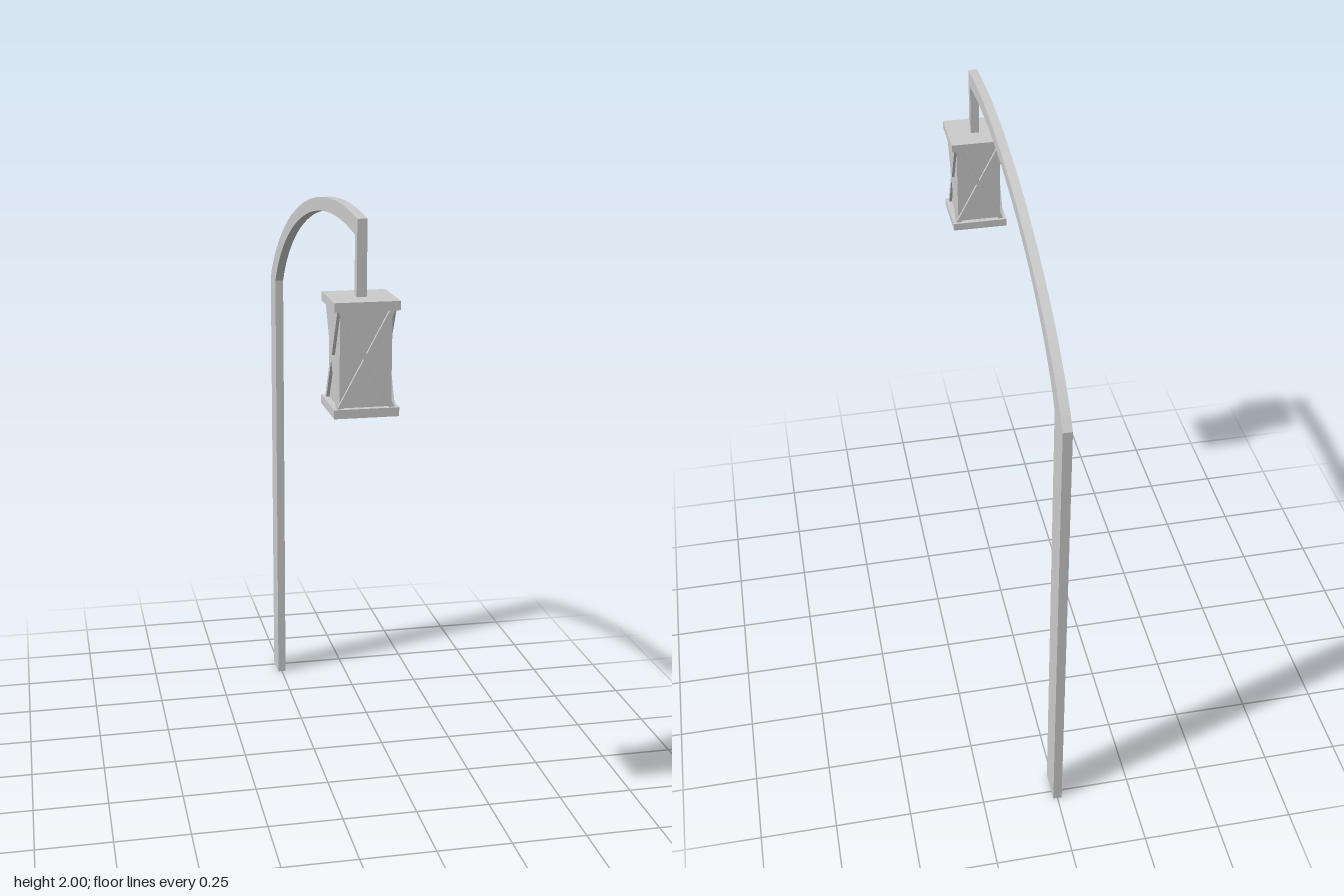
import * as THREE from 'three';

export function createModel() {
  const group = new THREE.Group();
  const material = new THREE.MeshStandardMaterial({ color: 0xcccccc, flatShading: true });
  const add = (name, geometry, parent = group) => {
    const mesh = new THREE.Mesh(geometry, material);
    mesh.name = name;
    parent.add(mesh);
    return mesh;
  };
  const extrude = (shape, depth) =>
    new THREE.ExtrudeGeometry(shape, { depth, bevelEnabled: false, curveSegments: 24 });

  const thick = 0.029;
  const lampZ = 0.688;

  // Upright plank
  add('post', new THREE.BoxGeometry(thick, 1.58, 0.104)).position.set(0, 0.79, -0.729);

  // Tapering curved arm: profile drawn with z along the shape's x axis
  const arm = new THREE.Shape();
  arm.moveTo(-0.781, 1.58);
  arm.bezierCurveTo(-0.55, 1.87, 0.13, 2.06, 0.702, 1.988);
  arm.lineTo(0.702, 1.94);
  arm.lineTo(0.673, 1.94);
  arm.bezierCurveTo(0.13, 2.02, -0.5, 1.83, -0.677, 1.58);
  arm.closePath();
  const armGeometry = extrude(arm, thick);
  armGeometry.translate(0, 0, -thick / 2).rotateY(-Math.PI / 2);
  add('arm', armGeometry);

  // Rod dropping from the arm to the lantern
  add('hangingRod', new THREE.BoxGeometry(thick, 0.2, thick)).position.set(0, 1.865, lampZ);

  // Lantern
  const lantern = new THREE.Group();
  lantern.name = 'lantern';
  lantern.position.set(0, 1.605, lampZ);
  group.add(lantern);
  add('lanternBody', new THREE.BoxGeometry(0.15, 0.3, 0.15), lantern);
  add('lanternRoof', new THREE.BoxGeometry(0.188, 0.026, 0.188), lantern).position.y = 0.152;
  add('lanternBase', new THREE.BoxGeometry(0.188, 0.026, 0.188), lantern).position.y = -0.152;

  // Crossed bars on each of the four sides
  const h = 0.141, outer = 0.084, inner = 0.067;
  for (let side = 0; side < 4; side++) {
    const cross = new THREE.Group();
    cross.name = 'crossBars';
    cross.rotation.y = side * Math.PI / 2;
    lantern.add(cross);
    for (const s of [-1, 1]) {
      const bar = new THREE.Shape([
        [-outer, -h], [-inner, -h], [outer, h], [inner, h],
      ].map(([x, y]) => new THREE.Vector2(s * x, y)));
      add('crossBar', extrude(bar, 0.014), cross).position.z = 0.07;
    }
  }
  return group;
}
